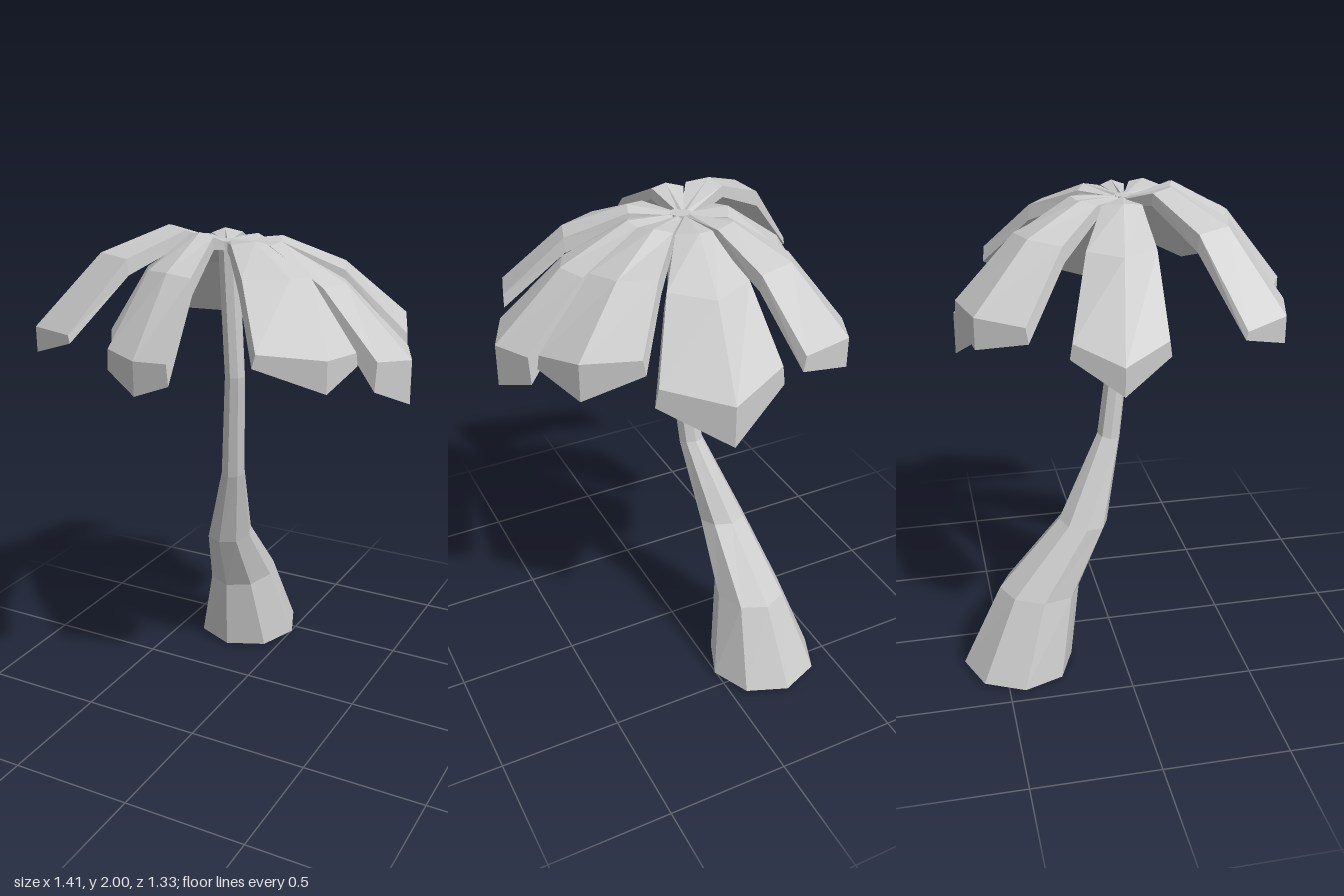
import * as THREE from 'three';

// Skin a list of equal-sized point loops and cap the last one (faceted)
function loft(rings) {
  const pos = [];
  const tri = (...pts) => pts.forEach((p) => pos.push(p.x, p.y, p.z));
  const n = rings[0].length;
  for (let i = 0; i < rings.length - 1; i++) {
    for (let j = 0; j < n; j++) {
      const k = (j + 1) % n;
      const [a, b, c, d] = [rings[i][j], rings[i][k], rings[i + 1][k], rings[i + 1][j]];
      tri(a, b, c);
      tri(a, c, d);
    }
  }
  const last = rings[rings.length - 1];
  for (let j = 2; j < n; j++) tri(last[1], last[j], last[(j + 1) % n]);
  const geo = new THREE.BufferGeometry();
  geo.setAttribute('position', new THREE.Float32BufferAttribute(pos, 3));
  geo.computeVertexNormals();
  return geo;
}

// Curved trunk sections: centre x, y, z, radius x, radius z, backward tilt
const TRUNK = [
  [-0.22, 0.013, -0.437, 0.23, 0.228, 0.01],
  [-0.2, 0.345, -0.335, 0.142, 0.165, 0.015],
  [-0.165, 0.62, -0.142, 0.097, 0.1, 0.015],
  [-0.08, 0.96, -0.017, 0.052, 0.047, 0.01],
  [-0.038, 1.4, 0.043, 0.042, 0.042, 0],
  [-0.06, 1.94, 0.05, 0.042, 0.042, 0],
];

// Eight-sided trunk, open at the foot
function trunkGeometry() {
  return loft(TRUNK.map(([x, y, z, rx, rz, tilt]) =>
    Array.from({ length: 8 }, (_, j) => {
      const a = (j / 8) * Math.PI * 2;
      const s = -Math.sin(a);
      return new THREE.Vector3(x + rx * Math.cos(a), y - tilt * s, z + rz * s);
    })));
}

// Leaves, clockwise from above: side corner, tip, side corner, rise,
// width exponent, end flap height at ridge and at edge
const LEAVES = [
  [[-0.52, 1.54, -0.39], [-0.43, 1.5, -0.57], [-0.21, 1.56, -0.62], 0, 0.9, 0.12, 0.06],
  [[-0.2, 1.46, -0.52], [0.05, 1.31, -0.61], [0.28, 1.44, -0.43], -0.01, 0.95, 0.17, 0.08],
  [[0.325, 1.6, -0.46], [0.53, 1.49, -0.35], [0.61, 1.54, -0.15], 0, 0.95, 0.15, 0.06],
  [[0.625, 1.46, -0.115], [0.7, 1.39, 0.05], [0.62, 1.47, 0.215], 0, 1, 0.17, 0.11],
  [[0.58, 1.58, 0.285], [0.53, 1.51, 0.44], [0.295, 1.6, 0.55], 0.01, 0.85, 0.12, 0.05],
  [[0.03, 1.53, 0.665], [-0.12, 1.47, 0.655], [-0.28, 1.53, 0.58], 0.04, 0.75, 0.13, 0.08],
  [[-0.46, 1.6, 0.555], [-0.66, 1.53, 0.495], [-0.71, 1.57, 0.335], 0.05, 0.65, 0.1, 0.03],
  [[-0.58, 1.48, 0.11], [-0.635, 1.36, -0.07], [-0.54, 1.48, -0.25], 0, 0.7, 0.11, 0.06],
];

const HUB = new THREE.Vector3(-0.07, 1.9, 0.04);
// Rows along a leaf: distance, droop, share of rise, thickness at ridge and edge
const ROWS = [
  [0.03, 0, 0, 0.04, 0.03],
  [0.3, 0.02, 1, 0.06, 0.045],
  [0.65, 0.34, 0.8, 0.09, 0.06],
];

function leafGeometry([left, tip, right, rise, power, flapRidge, flapEdge]) {
  const ends = [left, tip, right].map((p) => new THREE.Vector3(...p));
  const rows = [...ROWS, [1, 1, 0, flapRidge, flapEdge]];
  return loft(rows.map(([t, droop, lift, ridge, edge]) => {
    const row = (scale) => ends.map((e) => {
      const p = HUB.clone().lerp(ends[1], t);
      p.addScaledVector(e.clone().sub(ends[1]), t ** power * scale);
      p.y = HUB.y + (e.y - HUB.y) * droop + rise * lift;
      return p;
    });
    const bottom = row(1);
    const top = row(0.95);
    top.forEach((p, i) => { p.y += i === 1 ? ridge : edge; });
    return [...top, ...bottom.reverse()];
  }));
}

export function createModel() {
  const model = new THREE.Group();
  model.name = 'palmTree';
  const material = new THREE.MeshStandardMaterial({
    color: 0xcccccc, flatShading: true, side: THREE.DoubleSide,
  });
  const add = (geometry, name, parent) => {
    const mesh = new THREE.Mesh(geometry, material);
    mesh.name = name;
    parent.add(mesh);
  };
  add(trunkGeometry(), 'trunk', model);

  // Crown of drooping leaves
  const crown = new THREE.Group();
  crown.name = 'crown';
  LEAVES.forEach((leaf, i) => add(leafGeometry(leaf), `leaf${i + 1}`, crown));
  model.add(crown);
  return model;
}
